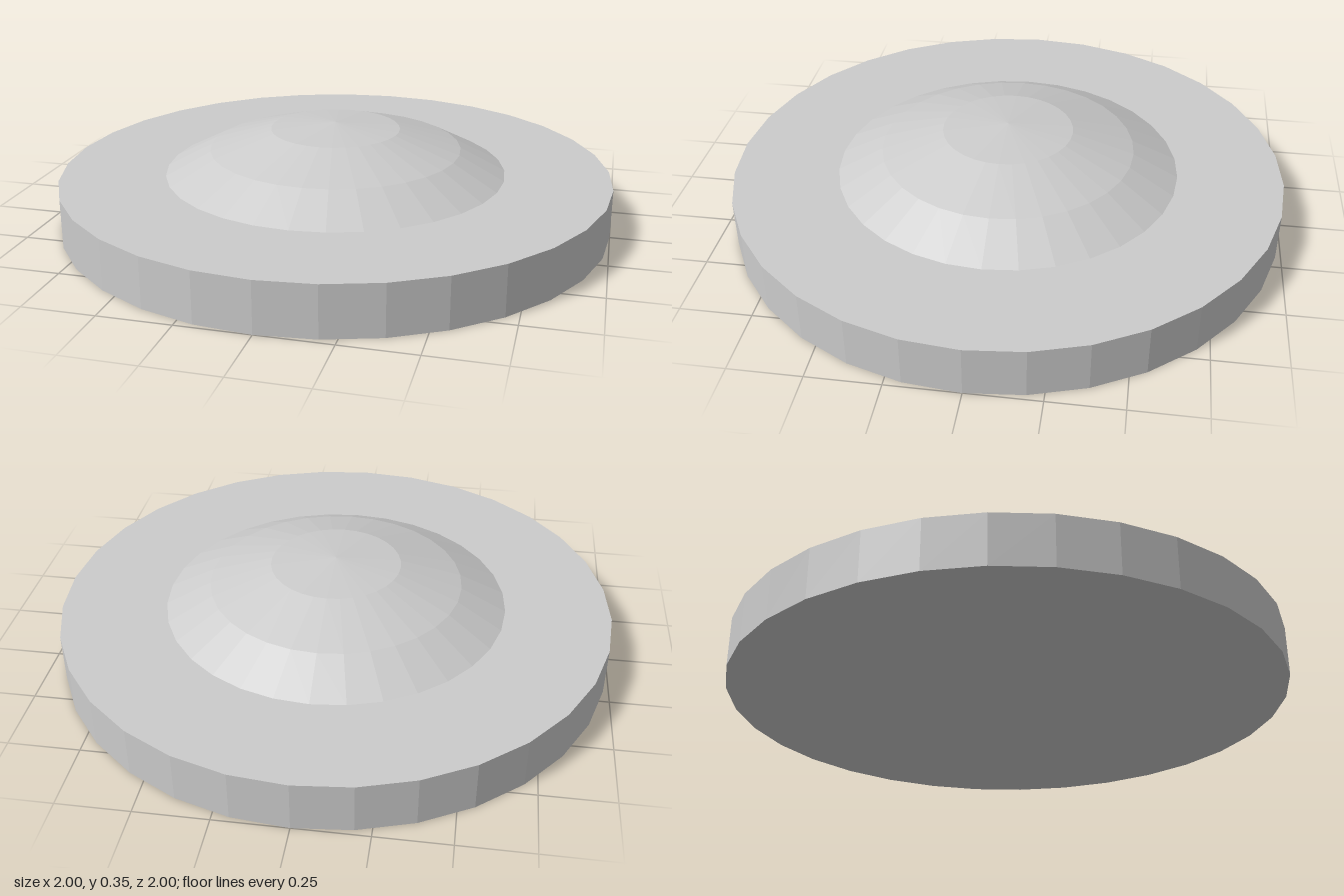
import * as THREE from 'three';

const SIDES = 32;
const BASE_HEIGHT = 0.177;

export function createModel() {
  const group = new THREE.Group();
  const material = new THREE.MeshStandardMaterial({ color: 0xcccccc, flatShading: true });

  // Flat round base
  const base = new THREE.Mesh(new THREE.CylinderGeometry(1, 1, BASE_HEIGHT, SIDES), material);
  base.name = 'base';
  base.position.y = BASE_HEIGHT / 2;
  group.add(base);

  // Shallow faceted dome, [radius, height] from rim to apex
  const profile = [[0.62, BASE_HEIGHT], [0.457, 0.262], [0.235, 0.332], [0, 0.354]];
  const dome = new THREE.Mesh(
    new THREE.LatheGeometry(profile.map(([r, y]) => new THREE.Vector2(r, y)), SIDES),
    material
  );
  dome.name = 'dome';
  group.add(dome);

  return group;
}
